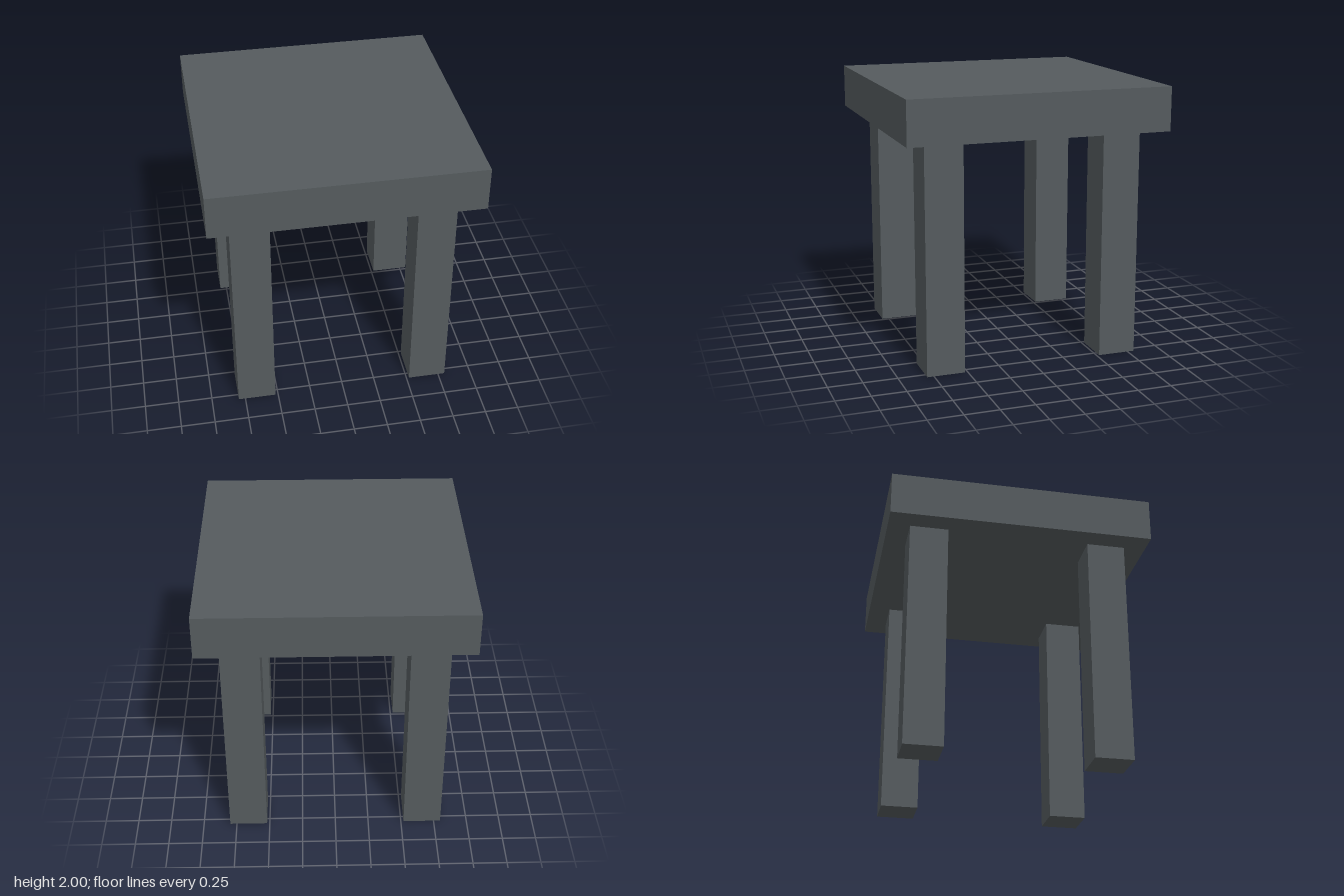
import * as THREE from 'three';

export function createModel() {
  const model = new THREE.Group();
  model.name = 'stool';
  const material = new THREE.MeshStandardMaterial({ color: 0x555b5e });

  const legHeight = 1.68, legWidth = 0.28, legOffset = 0.66;
  const seatWidth = 1.92, seatThickness = 0.32;

  // Square slab seat
  const seat = new THREE.Mesh(new THREE.BoxGeometry(seatWidth, seatThickness, seatWidth), material);
  seat.name = 'seat';
  seat.position.y = legHeight + seatThickness / 2;
  model.add(seat);

  // Four square legs, inset from the corners
  const legGeometry = new THREE.BoxGeometry(legWidth, legHeight, legWidth);
  for (const [zName, z] of [['front', 1], ['back', -1]]) {
    for (const [xName, x] of [['Left', 1], ['Right', -1]]) {
      const leg = new THREE.Mesh(legGeometry, material);
      leg.name = `${zName}${xName}Leg`;
      leg.position.set(x * legOffset, legHeight / 2, z * legOffset);
      model.add(leg);
    }
  }

  return model;
}
